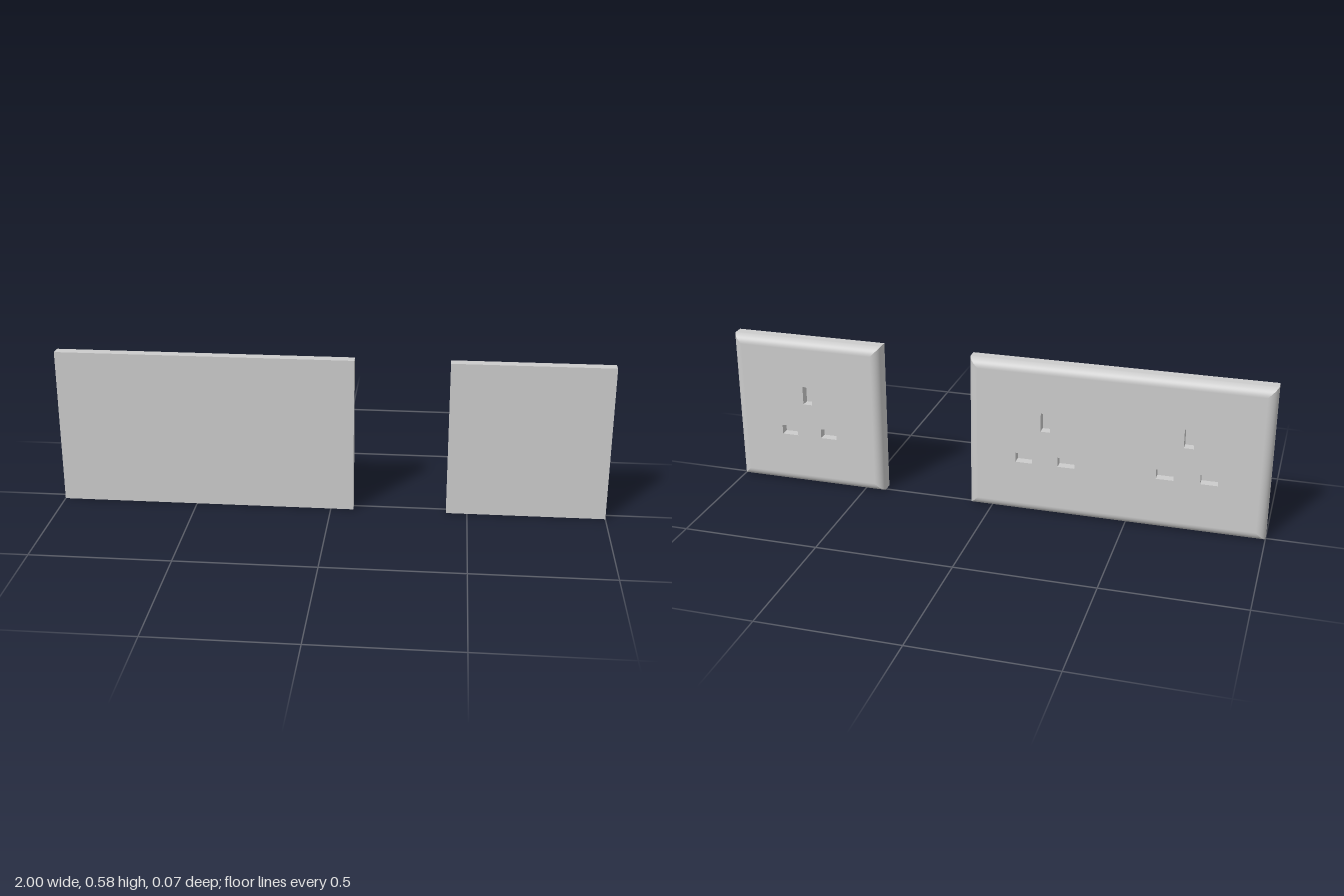
import * as THREE from 'three';

const H = 0.577;   // plate height
const R = 0.0335;  // edge radius, also half of the thickness
const material = new THREE.MeshStandardMaterial({ color: 0xcccccc });
const sheet = new THREE.MeshStandardMaterial({ color: 0xcccccc, side: THREE.DoubleSide });

function add(group, name, geometry, mat = material) {
  const mesh = new THREE.Mesh(geometry, mat);
  mesh.name = name;
  group.add(mesh);
  return mesh;
}

function rectangle(path, x, y, w, h) {
  path.moveTo(x - w / 2, y - h / 2);
  path.lineTo(x + w / 2, y - h / 2);
  path.lineTo(x + w / 2, y + h / 2);
  path.lineTo(x - w / 2, y + h / 2);
  path.closePath();
  return path;
}

// Quarter-round strip along one edge, mitred at both ends.
// The edge runs along x at distance 'reach' in +y.
function roundedEdge(length, reach, steps = 12) {
  const positions = [], normals = [], index = [];
  for (let i = 0; i <= steps; i++) {
    const a = (i / steps) * Math.PI / 2;
    const inset = R * (1 - Math.cos(a));
    for (const side of [-1, 1]) {
      positions.push(side * (length / 2 - inset), reach - inset, -R * Math.sin(a));
      normals.push(0, Math.cos(a), -Math.sin(a));
    }
    if (i < steps) {
      const k = i * 2;
      index.push(k, k + 1, k + 2, k + 1, k + 3, k + 2);
    }
  }
  const geometry = new THREE.BufferGeometry();
  geometry.setAttribute('position', new THREE.Float32BufferAttribute(positions, 3));
  geometry.setAttribute('normal', new THREE.Float32BufferAttribute(normals, 3));
  // Wind the triangles to face outward
  for (let i = 0; i < index.length; i += 3) [index[i + 1], index[i + 2]] = [index[i + 2], index[i + 1]];
  const p = (k) => new THREE.Vector3().fromArray(positions, k * 3);
  const n = p(index[1]).sub(p(index[0])).cross(p(index[2]).sub(p(index[0])));
  if (n.y < 0) index.reverse();
  geometry.setIndex(index);
  return geometry;
}

function socketPlate(name, width, outlets) {
  const plate = new THREE.Group();
  plate.name = name;

  // Flat base slab, which also closes the pin slots
  add(plate, 'base', new THREE.BoxGeometry(width, H, R)).position.z = R / 2;

  // Face panel pierced by three pin slots per outlet
  const face = rectangle(new THREE.Shape(), 0, 0, width - 2 * R, H - 2 * R);
  for (const x of outlets) {
    face.holes.push(rectangle(new THREE.Path(), x, 0.073, 0.035, 0.07));
    for (const side of [-1, 1]) {
      face.holes.push(rectangle(new THREE.Path(), x + side * 0.078, -0.074, 0.062, 0.036));
    }
  }
  const panel = new THREE.ExtrudeGeometry(face, { depth: R, bevelEnabled: false });
  add(plate, 'slottedFace', panel).position.z = -R;

  // Rounded rim on the four sides
  for (let i = 0; i < 4; i++) {
    const [length, reach] = i % 2 ? [H, width / 2] : [width, H / 2];
    add(plate, 'roundedEdge', roundedEdge(length, reach), sheet).rotation.z = i * Math.PI / 2;
  }
  plate.position.y = H / 2;
  return plate;
}

export function createModel() {
  const model = new THREE.Group();
  model.name = 'wallSockets';

  const double = socketPlate('doubleSocket', 1.083, [-0.256, 0.256]);
  double.position.x = -1 + 1.083 / 2;
  const single = socketPlate('singleSocket', H, [0]);
  single.position.x = 1 - H / 2;

  model.add(double, single);
  return model;
}
